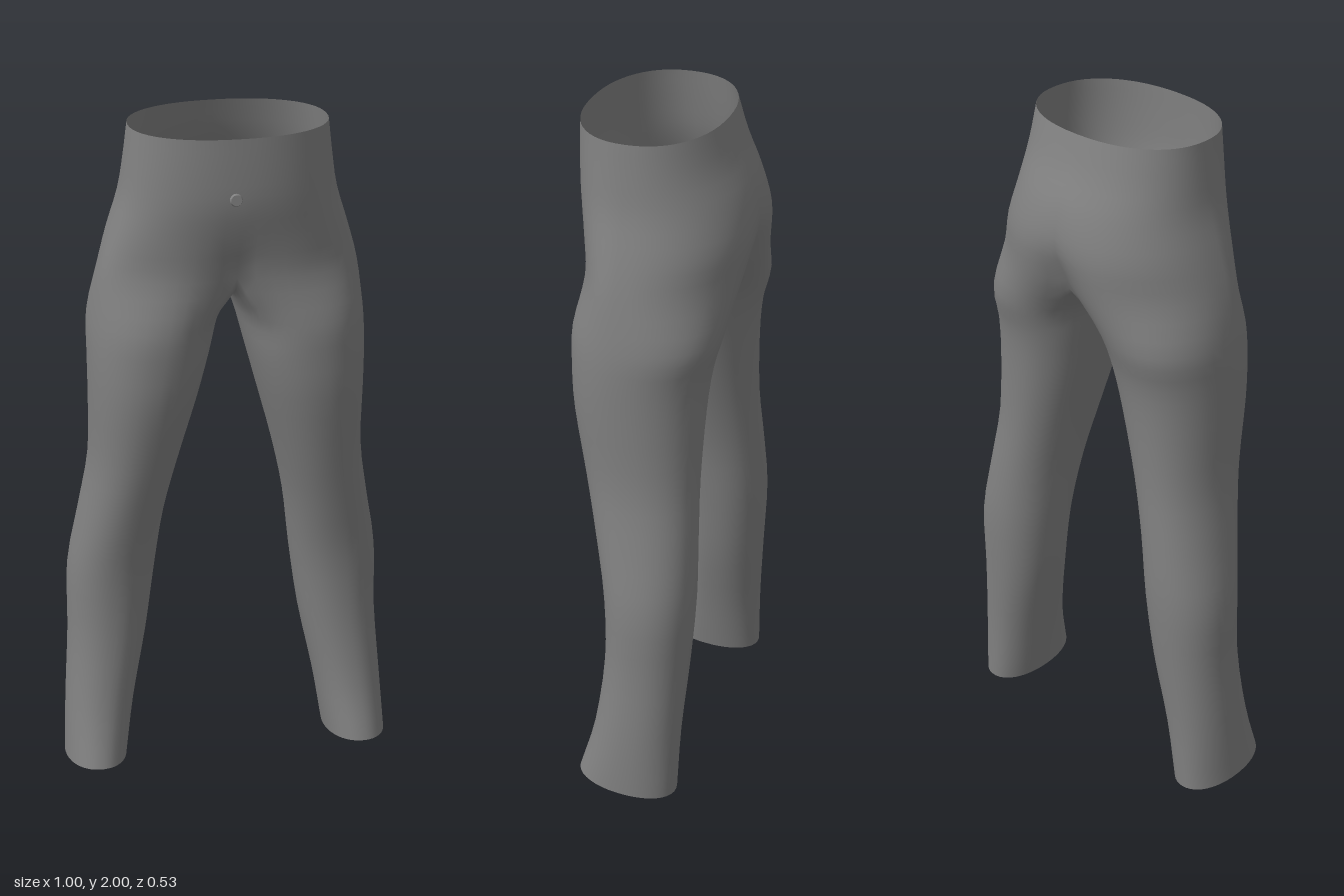
import * as THREE from 'three';
import { mergeVertices } from 'three/addons/utils/BufferGeometryUtils.js';

const OUT = 28;   // columns from front centre round the outside to back centre
const INN = 12;   // columns along the inner leg and crotch seam
const SUB = 3;    // rows between two control rings

// leg rings: y, inner x, outer x, back z, front z
const LEG = [
  [0.015, 0.315, 0.50, -0.155, 0.145], [0.2, 0.285, 0.49, -0.16, 0.10],
  [0.42, 0.24, 0.475, -0.175, 0.075], [0.63, 0.21, 0.47, -0.187, 0.08],
  [0.82, 0.185, 0.435, -0.182, 0.115], [1.0, 0.145, 0.405, -0.175, 0.155],
  [1.2, 0.09, 0.402, -0.18, 0.195], [1.33, 0.055, 0.402, -0.193, 0.206],
  [1.44, 0.026, 0.398, -0.22, 0.206],
];
// hip rings: y, half width, back z, front z, inward dent at the centre line
const HIP = [
  [1.58, 0.372, -0.262, 0.202, 0.2], [1.69, 0.342, -0.268, 0.212, 0.05],
  [1.8, 0.308, -0.242, 0.23, 0], [1.9, 0.292, -0.198, 0.235, 0],
  [2.0, 0.28, -0.165, 0.235, 0],
];

const soft = (v, p) => Math.sign(v) * Math.abs(v) ** p;

function legPoint([y, xi, xo, zb, zf], j) {
  const open = 0.7; // how far the outer columns reach round to the inside
  const a = j <= OUT
    ? -open + (Math.PI + 2 * open) * j / OUT
    : Math.PI + open + (Math.PI - 2 * open) * (j - OUT) / INN;
  const x = (xi + xo) / 2 + (xo - xi) / 2 * soft(Math.sin(a), 0.94);
  const z = (zf + zb) / 2 + (zf - zb) / 2 * soft(Math.cos(a), 0.94);
  const slant = y < 0.1 ? 0.015 * Math.cos(a) : 0; // hem rises at the front
  return new THREE.Vector3(x, y + slant, z);
}

function hipPoint([y, w, zb, zf, dent], j) {
  const a = Math.PI * Math.min(j, OUT) / OUT;
  const x = w * soft(Math.max(0, Math.sin(a)), 0.9);
  const mid = 0.035, c = soft(Math.cos(a), 0.9);
  const pull = 1 - dent * Math.max(0, 1 - x / 0.2) ** 2;
  return new THREE.Vector3(x < 1e-6 ? 0 : x, y, mid * pull + (c > 0 ? zf - mid : mid - zb) * c * pull);
}

// crotch seam, dipping between front centre and back centre
function seamPoint(j) {
  const s = (j - OUT) / INN;
  const back = hipPoint(HIP[0], OUT), front = hipPoint(HIP[0], 0);
  const z = THREE.MathUtils.lerp(back.z, front.z, (1 - Math.cos(Math.PI * s)) / 2);
  return new THREE.Vector3(0, HIP[0][0] - 0.08 * Math.sin(Math.PI * s) ** 0.8, z);
}

function trousersGeometry() {
  const cols = OUT + INN;
  const columns = [];
  for (let j = 0; j < cols; j++) {
    const pts = LEG.map(r => legPoint(r, j));
    if (j <= OUT) pts.push(...HIP.map(r => hipPoint(r, j)));
    else pts.push(seamPoint(j));
    const steps = (pts.length - 1) * SUB;
    columns.push(new THREE.CatmullRomCurve3(pts, false, 'catmullrom', 0.5).getPoints(steps));
  }
  const legRows = LEG.length * SUB;
  const allRows = legRows + (HIP.length - 1) * SUB;
  const pos = [], corner = (i, j, side) => {
    const p = columns[j % cols][i];
    pos.push(side * Math.max(0, p.x), p.y, p.z);
  };
  for (const side of [1, -1]) {
    for (let i = 0; i < allRows; i++) {
      // full loops up the leg, open half loops over the hips
      for (let j = 0; j < (i < legRows ? cols : OUT); j++) {
        const quad = [[i, j], [i, j + 1], [i + 1, j + 1], [i, j], [i + 1, j + 1], [i + 1, j]];
        if (side < 0) quad.reverse();
        quad.forEach(([r, c]) => corner(r, c, side));
      }
    }
  }
  const g = new THREE.BufferGeometry();
  g.setAttribute('position', new THREE.Float32BufferAttribute(pos, 3));
  const welded = mergeVertices(g, 1e-4);
  welded.computeVertexNormals();
  return welded;
}

export function createModel() {
  const model = new THREE.Group();
  model.name = 'trousers';
  const cloth = new THREE.MeshStandardMaterial({ color: 0x808080, side: THREE.DoubleSide });
  cloth.name = 'grey cloth';

  const legs = new THREE.Mesh(trousersGeometry(), cloth);
  legs.name = 'trouserBody';
  model.add(legs);

  // small waist button standing just off the cloth
  const button = new THREE.Mesh(new THREE.CylinderGeometry(0.015, 0.018, 0.007, 16), cloth);
  button.name = 'button';
  button.rotation.x = Math.PI / 2 - 0.08;
  button.position.set(-0.025, 1.84, 0.266);
  model.add(button);
  return model;
}
